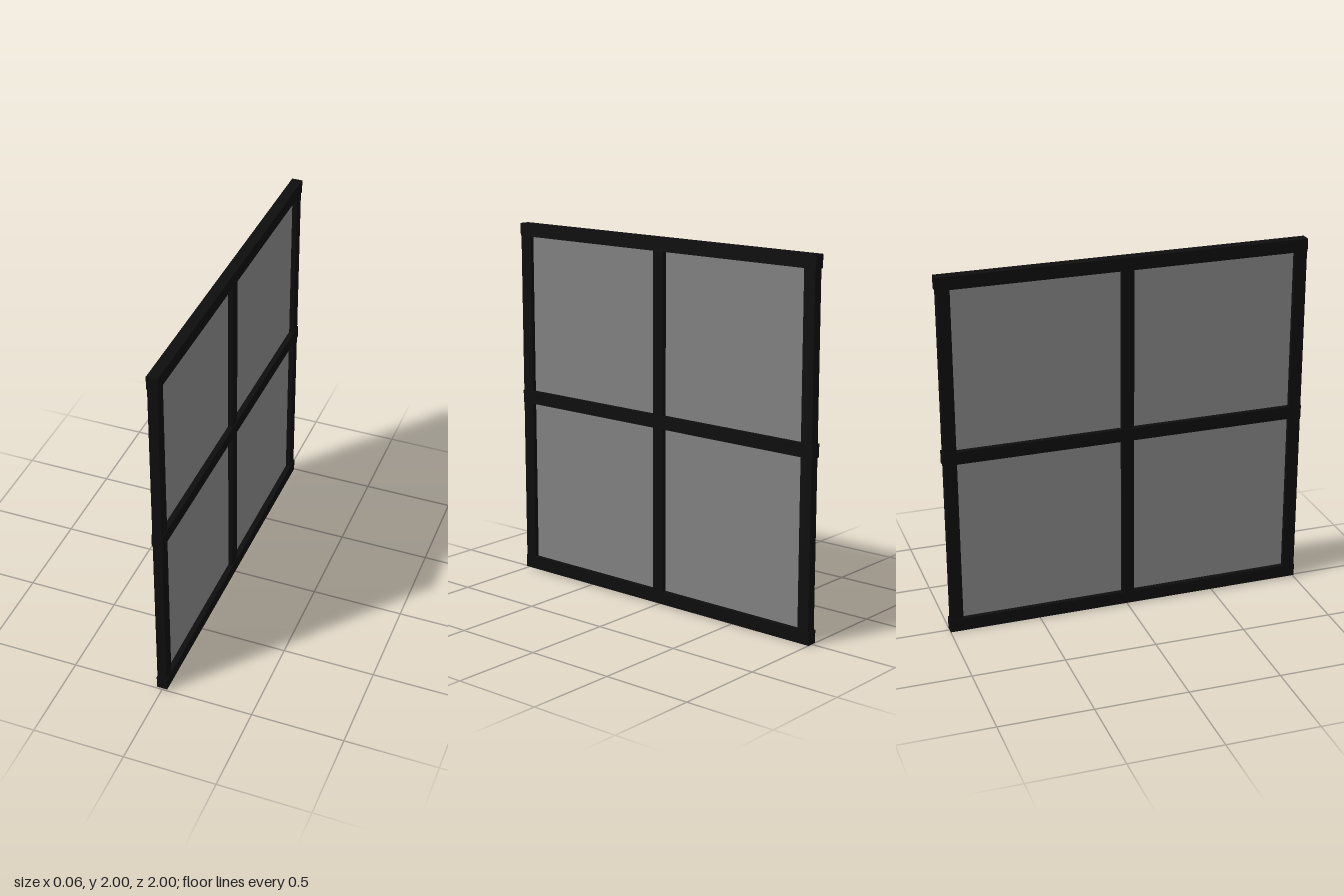
import * as THREE from 'three';

export function createModel() {
  const model = new THREE.Group();
  model.name = 'windowFrame';
  const frameMat = new THREE.MeshStandardMaterial({ color: 0x0d0d0d });
  const paneMat = new THREE.MeshStandardMaterial({ color: 0x808080, side: THREE.DoubleSide });

  const bar = (name, size, y, z) => {
    const mesh = new THREE.Mesh(new THREE.BoxGeometry(...size), frameMat);
    mesh.name = name;
    mesh.position.set(0, y, z);
    model.add(mesh);
    return mesh;
  };

  // Upright posts
  for (const [name, z] of [['frontPost', 0.965], ['middlePost', 0.005], ['backPost', -0.96]]) {
    bar(name, [0.05, 1.97, 0.067], 1, z);
  }

  // Cross rails, slightly thicker and very slightly tilted
  for (const [name, y] of [['bottomRail', 0.04], ['middleRail', 1.015], ['topRail', 1.96]]) {
    bar(name, [0.058, 0.07, 2], y, 0).rotation.x = -0.005;
  }

  // Four thin panes between the bars
  for (const y of [0.527, 1.487]) {
    for (const z of [0.485, -0.478]) {
      const pane = new THREE.Mesh(new THREE.PlaneGeometry(0.92, 0.92), paneMat);
      pane.name = 'pane';
      pane.rotation.y = Math.PI / 2;
      pane.position.set(0, y, z);
      model.add(pane);
    }
  }
  return model;
}
